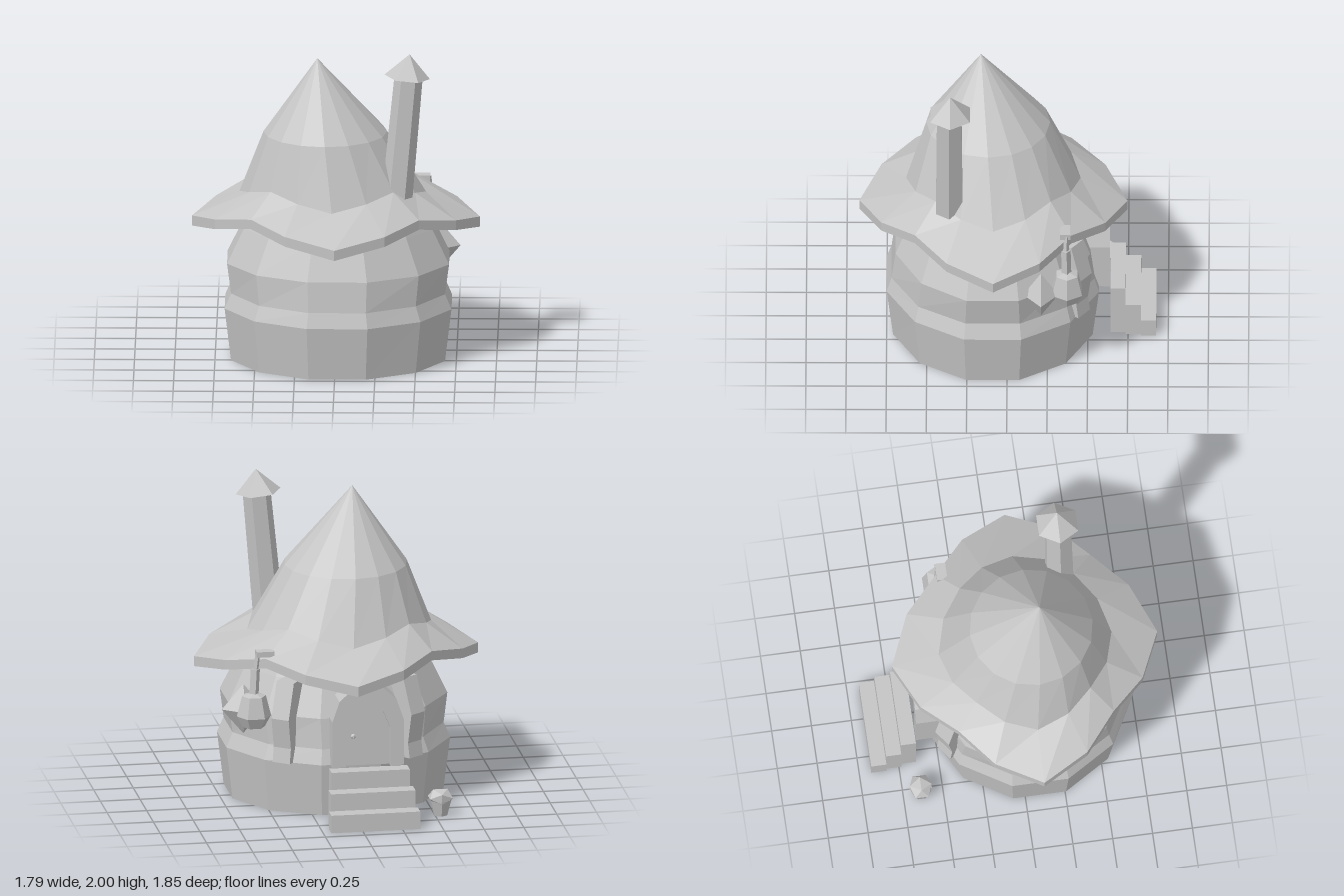
import * as THREE from 'three';

const stone = new THREE.MeshStandardMaterial({ color: 0xc4c4c4, side: THREE.DoubleSide });
stone.name = 'plain grey';

// Faceted mesh with one normal per face
function add(parent, name, geo) {
  const g = geo.index ? geo.toNonIndexed() : geo;
  g.computeVertexNormals();
  const mesh = new THREE.Mesh(g, stone);
  mesh.name = name;
  parent.add(mesh);
  return mesh;
}

// Skin over rings, each ring being a function of the side number
function loft(rings, sides) {
  const pos = [], idx = [];
  rings.forEach(ring => { for (let k = 0; k < sides; k++) pos.push(...ring(k)); });
  for (let j = 0; j < rings.length - 1; j++) {
    for (let k = 0; k < sides; k++) {
      const a = j * sides + k, b = j * sides + (k + 1) % sides;
      idx.push(a, b, b + sides, a, b + sides, a + sides);
    }
  }
  const g = new THREE.BufferGeometry();
  g.setAttribute('position', new THREE.Float32BufferAttribute(pos, 3));
  g.setIndex(idx);
  return g;
}

const shapeOf = pts => new THREE.Shape(pts.map(p => new THREE.Vector2(...p)));
const mirrored = half => [...half, ...half.map(([x, y]) => [-x, y]).reverse()];
const extrude = (pts, depth) => new THREE.ExtrudeGeometry(shapeOf(pts), { depth, bevelEnabled: false });
const box = (x0, x1, y0, y1, z0, z1) =>
  new THREE.BoxGeometry(x1 - x0, y1 - y0, z1 - z0).translate((x0 + x1) / 2, (y0 + y1) / 2, (z0 + z1) / 2);

// Prism whose axis runs from one point to another
function strut(from, to, r0, r1, sides, turn = 0) {
  const a = new THREE.Vector3(...from), b = new THREE.Vector3(...to), d = b.clone().sub(a);
  const g = new THREE.CylinderGeometry(r1, r0, d.length(), sides).rotateY(turn);
  g.applyQuaternion(new THREE.Quaternion().setFromUnitVectors(new THREE.Vector3(0, 1, 0), d.normalize()));
  return g.translate((a.x + b.x) / 2, (a.y + b.y) / 2, (a.z + b.z) / 2);
}

export function createModel() {
  const house = new THREE.Group();
  house.name = 'cottage';

  // Wavy twelve-sided wall, open below: [y, half width, half depth]
  const wall = [[0, .665, .62], [.335, .705, .66], [.43, .665, .63], [.62, .69, .605], [.84, .585, .515], [.95, .53, .46]];
  add(house, 'wall', loft(wall.map(([y, w, d]) => k => {
    const a = (k + .5) * Math.PI / 6, c = Math.cos(Math.PI / 12);
    return [.015 + w / c * Math.sin(a), y, .09 + d / c * Math.cos(a)];
  }), 12));

  // Hat roof: ring of [centre x, centre z, half width, half depth, low y, wave height, corner pull]
  const roofRing = ([cx, cz, w, d, y, wave, pull]) => k => {
    const a = k * Math.PI / 8, t = 1 - Math.abs(k % 4 - 2) / 2;
    const f = 1 - pull * Math.sin(t * Math.PI / 2) * (t === 1 ? 1 : .76);
    return [cx + w * f * Math.sin(a), y + wave * t, cz + d * f * Math.cos(a)];
  };
  add(house, 'roof', loft([
    [0, .09, .5, .44, .82, .11, 0],
    [0, .0875, .895, .8325, .82, .11, .175],
    [0, .0875, .895, .8325, .885, .105, .175],
    [-.02, .0875, .58, .5425, 1.045, .09, .07],
    [-.065, .12, .385, .385, 1.44, 0, 0],
    [-.115, .165, .001, .001, 1.92, 0, 0],
  ].map(roofRing), 16));

  // Leaning hexagonal chimney
  const chimney = new THREE.Group();
  chimney.name = 'chimney';
  house.add(chimney);
  add(chimney, 'chimneyShaft', strut([.383, 1.08, .36], [.456, 1.87, .36], .096, .088, 6, Math.PI / 6));
  add(chimney, 'chimneyCap', strut([.446, 1.855, .355], [.461, 2, .355], .142, 0, 6, Math.PI / 6));

  // Three steps at the back
  for (let i = 0; i < 3; i++) {
    const h = .28 - i * .014 - (i > 1 ? .006 : 0);
    add(house, 'step', box(-.08 - h, -.08 + h, 0, .11 * (i + 1) + .003, -.925 + i * .095, -.83 + i * .095));
  }

  // Arched doorway
  const door = new THREE.Group();
  door.name = 'doorway';
  door.position.set(-.08, 0, 0);
  house.add(door);
  const opening = [[.14, .335], [.14, .58], [.095, .69], [0, .765]];
  const outer = [[.225, .335], [.225, .63], [.18, .76], [.09, .845]];
  const arch = [...outer, ...outer.map(([x, y]) => [-x, y]).reverse(),
    ...opening.map(([x, y]) => [-x, y]), ...opening.slice(0, 3).reverse()];
  add(door, 'doorFrame', extrude(arch, .17).translate(0, 0, -.637));
  add(door, 'doorPanel', extrude(mirrored(opening.slice(0, 3).concat([[.002, .765]])), .08).translate(0, 0, -.6));
  add(door, 'doorKnob', new THREE.IcosahedronGeometry(.018).translate(.09, .53, -.62));

  // Bent planks following the wall on both sides of the door
  const plank = [[.56, .335], [.71, .335], [.695, .43], [.725, .62], [.655, .845], [.5, .845]];
  for (const s of [1, -1]) {
    const p = add(house, 'wallPlank', extrude(plank, .12).translate(0, 0, -.06));
    p.position.set(.015, 0, .09);
    p.rotation.y = Math.atan2(.8, s * .6);
  }

  // Pointed crystal bay on the wall
  const crystal = add(house, 'crystal', new THREE.OctahedronGeometry(1).scale(.135, .16, .11));
  crystal.position.set(.635, .62, -.21);

  // Hanging lantern on a bracket
  const lantern = new THREE.Group();
  lantern.name = 'lantern';
  house.add(lantern);
  add(lantern, 'lanternBracket', box(.47, .58, 1, 1.035, -.395, -.33));
  add(lantern, 'lanternHook', strut([.57, 1.02, -.37], [.585, .9, -.365], .016, .018, 4, Math.PI / 4));
  add(lantern, 'lanternStrap', strut([.585, .92, -.365], [.595, .74, -.37], .03, .03, 4, Math.PI / 4));
  const pot = [[0, .55], [.07, .55], [.108, .62], [.075, .75], [0, .77]].map(p => new THREE.Vector2(...p));
  add(lantern, 'lanternBody', new THREE.LatheGeometry(pot, 6).rotateY(Math.PI / 6).translate(.595, 0, -.372));

  // Small potted plant beside the steps
  const plant = new THREE.Group();
  plant.name = 'pottedPlant';
  plant.position.set(-.535, 0, -.64);
  house.add(plant);
  add(plant, 'plantPot', new THREE.CylinderGeometry(.072, .045, .1, 6).translate(0, .05, 0));
  add(plant, 'plantLeaves', new THREE.IcosahedronGeometry(1).scale(.085, .06, .08).translate(0, .115, 0));

  return house;
}
